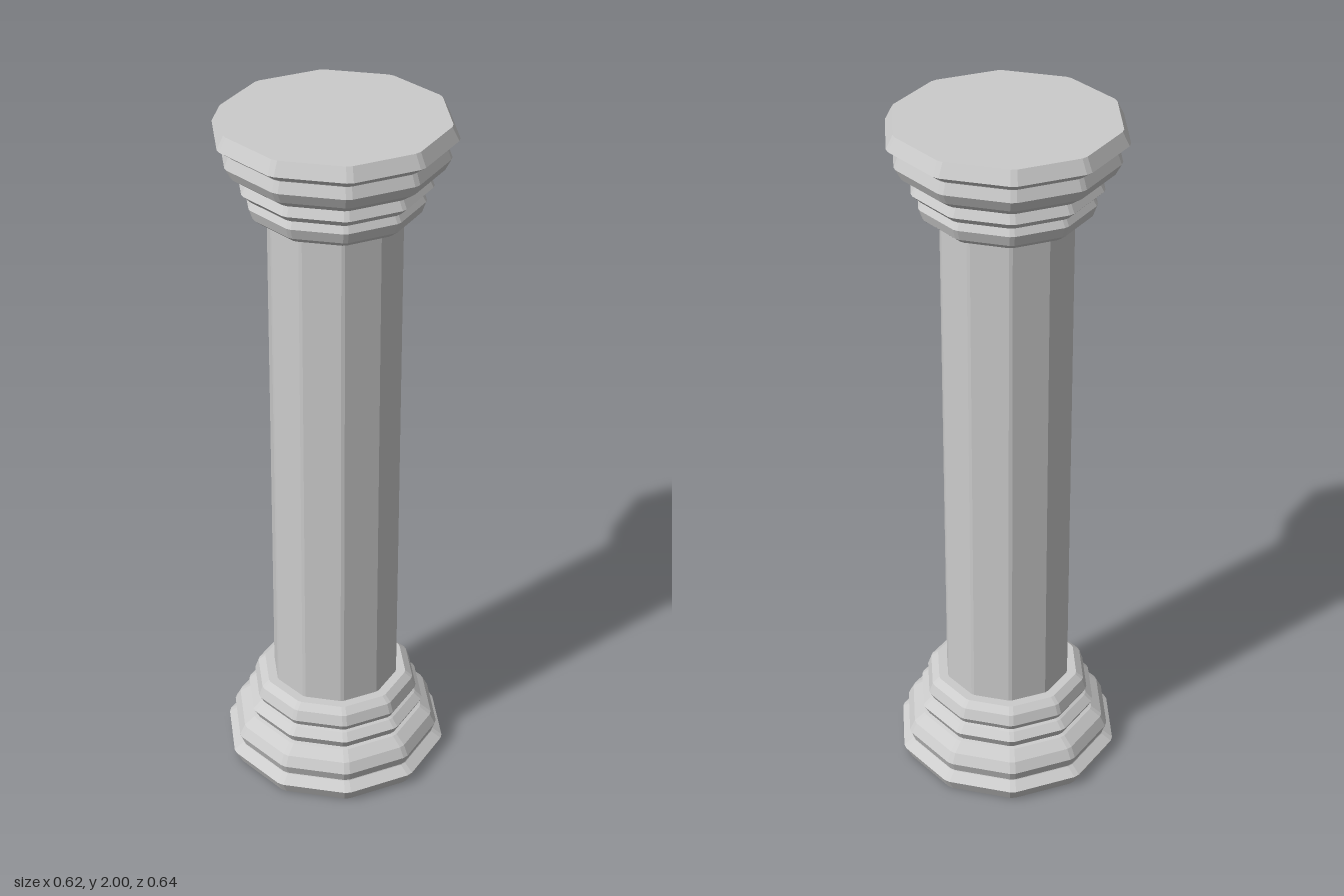
import * as THREE from 'three';

const SIDES = 10;
const CUT = 0.03; // corner chamfer, relative to the apothem
const material = new THREE.MeshStandardMaterial({ color: 0xcccccc, flatShading: true });

// Lathe a profile of [apothem, y] pairs into a ten-sided prism with chamfered corners
function polygonLathe(name, profile) {
  const points = profile.map(([a, y]) => new THREE.Vector2(a, y));
  const geometry = new THREE.LatheGeometry(points, SIDES * 2);
  const half = Math.tan(Math.PI / SIDES) - CUT;
  const stretch = Math.hypot(1, half);
  const shift = Math.PI / SIDES - Math.atan(half);
  const position = geometry.attributes.position;
  for (let i = 0; i < position.count; i++) {
    const column = Math.floor(i / points.length);
    const corner = Math.floor(column / 2) * 2 * Math.PI / SIDES;
    const angle = corner + (column % 2 ? shift : -shift);
    const r = points[i % points.length].x * stretch;
    position.setX(i, r * Math.sin(angle));
    position.setZ(i, r * Math.cos(angle));
  }
  geometry.computeVertexNormals();
  const mesh = new THREE.Mesh(geometry, material);
  mesh.name = name;
  return mesh;
}

export function createModel() {
  const group = new THREE.Group();
  group.name = 'column';

  // Four stacked mouldings, from the foot up to the shaft
  const moulding = [
    [0, 0], [0.29, 0], [0.308, 0.037], [0.28, 0.058],
    [0.279, 0.06], [0.29, 0.09], [0.275, 0.12], [0.245, 0.143],
    [0.235, 0.146], [0.248, 0.172], [0.228, 0.192],
    [0.22, 0.196], [0.23, 0.215], [0.22, 0.245], [0.2, 0.262], [0.16, 0.262],
  ];
  group.add(polygonLathe('base', moulding));
  group.add(polygonLathe('shaft', [[0.174, 0.25], [0.174, 1.75]]));

  // The capital mirrors the base
  const mirrored = moulding.map(([a, y]) => [a, 2 - y]).reverse();
  group.add(polygonLathe('capital', mirrored));
  return group;
}
